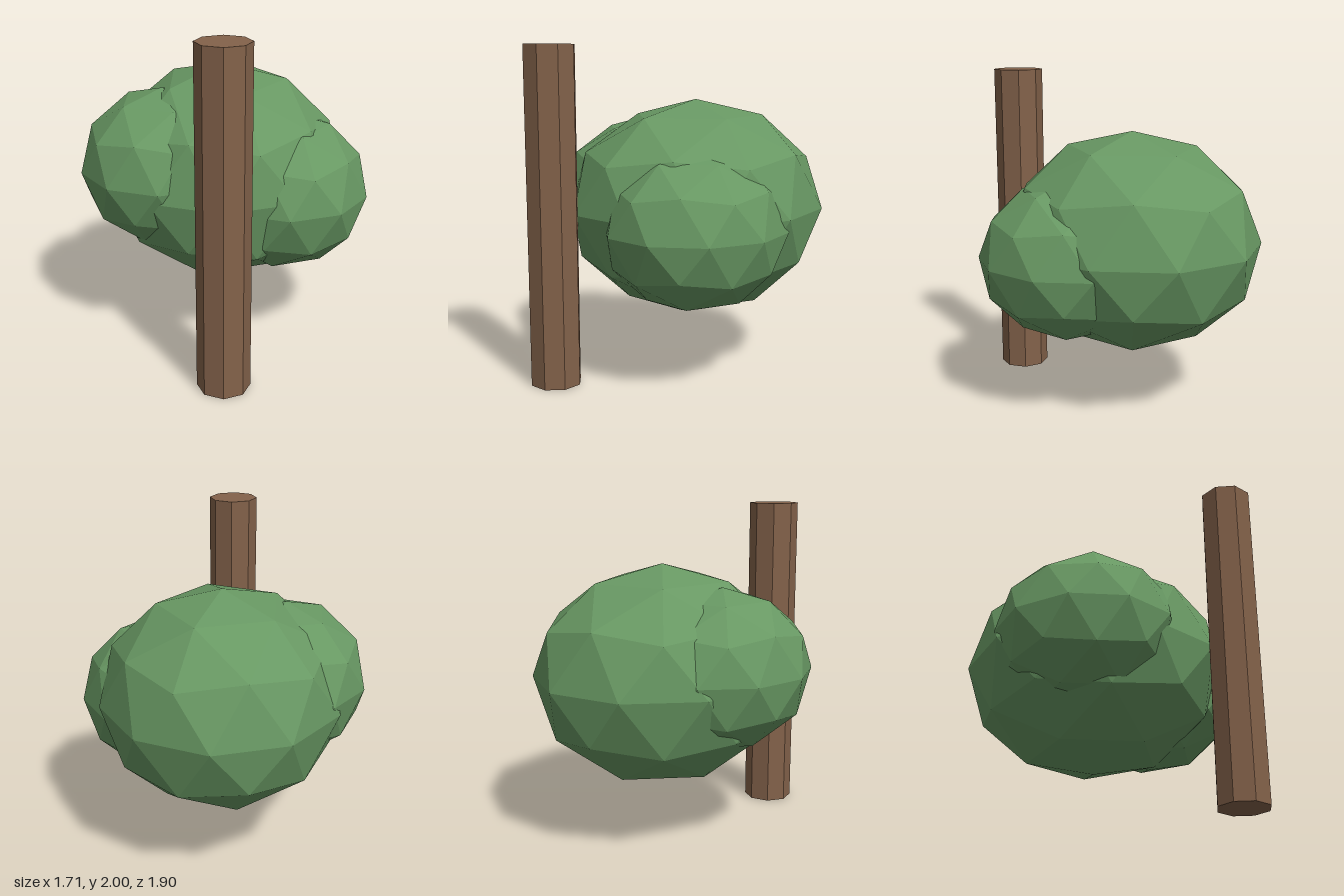
import * as THREE from 'three';

export function createModel() {
  const model = new THREE.Group();
  const bark = new THREE.MeshStandardMaterial({ color: 0x83624a, flatShading: true });
  bark.name = 'barkBrown';
  const leaf = new THREE.MeshStandardMaterial({ color: 0x689863, flatShading: true });
  leaf.name = 'leafGreen';

  // Trunk: upright eight-sided post
  const trunk = new THREE.Mesh(new THREE.CylinderGeometry(0.154, 0.154, 2, 8), bark);
  trunk.name = 'trunk';
  trunk.position.set(-0.01, 1, 0.795);
  model.add(trunk);

  // Foliage: stretched 80-face icospheres, each with a corner at the top
  const tilt = Math.atan((1 + Math.sqrt(5)) / 2);
  function addFoliage(name, position, size) {
    const geometry = new THREE.IcosahedronGeometry(1, 1);
    geometry.rotateX(-tilt).rotateY(Math.PI / 2).scale(...size);
    geometry.computeVertexNormals();
    const mesh = new THREE.Mesh(geometry, leaf);
    mesh.name = name;
    mesh.position.set(...position);
    model.add(mesh);
  }
  addFoliage('mainFoliage', [-0.01, 1.005, -0.14], [0.74, 0.665, 0.807]);
  addFoliage('leftFoliage', [0.365, 0.93, 0.05], [0.51, 0.48, 0.555]);
  addFoliage('rightFoliage', [-0.38, 1.07, 0.01], [0.505, 0.482, 0.555]);

  return model;
}
